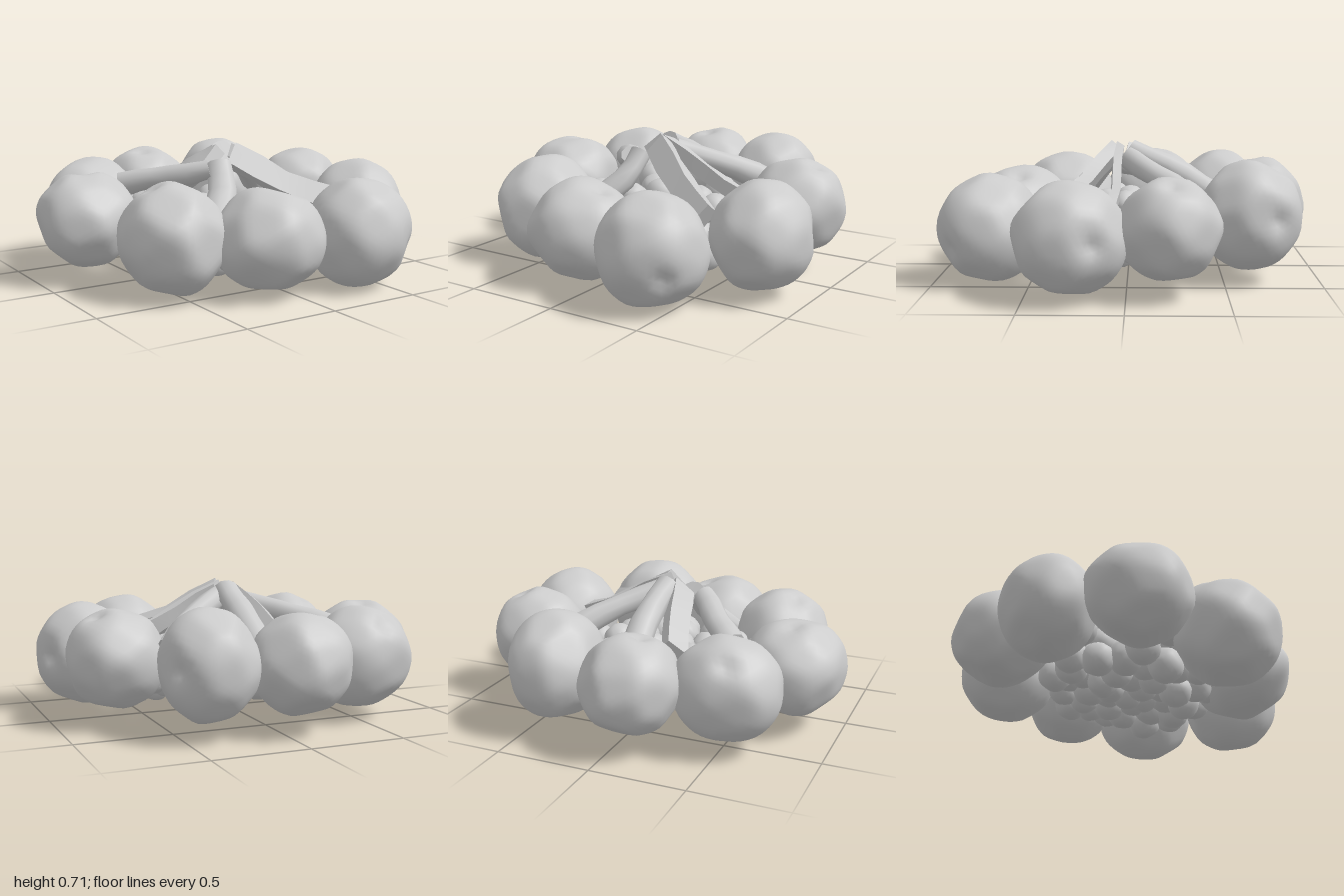
import * as THREE from 'three';
import { mergeVertices, toCreasedNormals } from 'three/addons/utils/BufferGeometryUtils.js';

const material = new THREE.MeshStandardMaterial({ color: 0xcccccc });

// Small seeded random generator
function seeded(seed) {
  let s = seed * 7919 + 17;
  return () => {
    s = (s * 16807) % 2147483647;
    return s / 2147483647;
  };
}

// Rounded rock: a unit sphere softly trimmed by planes, with one shallow pit
function rockGeometry(seed, detail, planeCount, pitDirection, pitDepth) {
  const rand = seeded(seed);
  for (let i = 0; i < 5; i++) rand();
  const planes = [];
  for (let i = 0; i < planeCount; i++) {
    const y = 1 - (2 * (i + 0.5)) / planeCount;
    const a = i * 2.39996 + rand() * 0.9 + seed;
    const q = Math.sqrt(1 - y * y);
    planes.push({ n: new THREE.Vector3(Math.cos(a) * q, y, Math.sin(a) * q), d: 0.95 + rand() * 0.08 });
  }
  const pit = new THREE.Vector3(...pitDirection).normalize();

  const raw = new THREE.IcosahedronGeometry(1, detail);
  raw.deleteAttribute('normal');
  raw.deleteAttribute('uv');
  const geometry = mergeVertices(raw, 1e-4);
  const pos = geometry.attributes.position;
  const v = new THREE.Vector3();
  const k = 36;
  for (let i = 0; i < pos.count; i++) {
    v.fromBufferAttribute(pos, i).normalize();
    let sum = Math.exp(-k * 1.05);
    for (const { n, d } of planes) {
      const c = v.dot(n);
      if (c > 0.3) sum += Math.exp((-k * d) / c);
    }
    const away = v.distanceTo(pit);
    const r = -Math.log(sum) / k - pitDepth * Math.exp(-away * away * 25);
    v.multiplyScalar(r);
    pos.setXYZ(i, v.x, v.y, v.z);
  }
  geometry.computeVertexNormals();
  return geometry;
}

function addMesh(parent, name, geometry) {
  const mesh = new THREE.Mesh(geometry, material);
  mesh.name = name;
  parent.add(mesh);
  return mesh;
}

// Log or split plank from its top end to its foot, slightly bent and uneven
function addLog(parent, name, top, foot, width, thickness, roll, seed) {
  const round = name === 'roundLog';
  const a = new THREE.Vector3(...top);
  const b = new THREE.Vector3(...foot);
  const length = a.distanceTo(b);
  const geometry = round
    ? new THREE.CylinderGeometry(0.45, 0.54, length, 10, 5)
    : new THREE.BoxGeometry(1, length, 1, 1, 4, 1);
  const pos = geometry.attributes.position;
  for (let i = 0; i < pos.count; i++) {
    const x = pos.getX(i), y = pos.getY(i), z = pos.getZ(i);
    const t = y / length;
    const swell = 1 + 0.09 * Math.sin(t * 9 + seed * 2 + x * 3);
    const bend = 0.012 * Math.sin(t * 5 + seed);
    const slant = Math.abs(t) > 0.45 ? 0.05 * x * Math.cos(seed) : 0;
    pos.setXYZ(i, x * width * swell + bend, y + slant, z * thickness * swell - bend);
  }
  const mesh = addMesh(parent, name, toCreasedNormals(geometry, round ? 0.9 : 0.4));
  // Local y runs up the log, local x is level before the roll
  const up = a.clone().sub(b).normalize();
  const side = new THREE.Vector3(0, 1, 0).cross(up).normalize();
  mesh.quaternion.setFromRotationMatrix(new THREE.Matrix4().makeBasis(side, up, side.clone().cross(up)));
  mesh.rotateY(roll);
  mesh.position.copy(a).add(b).multiplyScalar(0.5);
}

export function createModel() {
  const model = new THREE.Group();
  model.name = 'campfire';

  // Ring of large stones: centre x, y, z, half sizes, pit direction
  const ring = new THREE.Group();
  ring.name = 'stoneRing';
  model.add(ring);
  [
    [-0.09, 0.345, -0.71, 0.247, 0.25, 0.26, [-0.2, 1, 0.1]],
    [0.36, 0.35, -0.625, 0.242, 0.275, 0.267, [0.7, 0, -0.45]],
    [0.70, 0.34, -0.215, 0.247, 0.25, 0.247, [0.4, 0.9, 0]],
    [0.745, 0.30, 0.27, 0.252, 0.272, 0.272, [0.8, 0, -0.45]],
    [0.385, 0.28, 0.705, 0.267, 0.277, 0.263, [0.6, -0.25, 0.6]],
    [-0.105, 0.28, 0.60, 0.276, 0.257, 0.272, [0.45, 0.85, 0]],
    [-0.53, 0.29, 0.38, 0.262, 0.277, 0.281, [-0.3, 0.9, -0.2]],
    [-0.745, 0.33, -0.13, 0.26, 0.245, 0.267, [0, 1, -0.2]],
    [-0.52, 0.325, -0.53, 0.272, 0.258, 0.238, [-0.2, 0.7, -0.7]],
  ].forEach(([x, y, z, sx, sy, sz, pit], i) => {
    const stone = addMesh(ring, 'ringStone', rockGeometry(i + 1, 8, 28, pit, 0.12));
    stone.position.set(x, y, z);
    stone.scale.set(sx, sy, sz);
  });

  // Bed of pebbles, rising gently to the back
  const bed = new THREE.Group();
  bed.name = 'pebbleBed';
  model.add(bed);
  const shapes = [21, 22, 23, 24].map((s) => rockGeometry(s, 3, 18, [0, 1, 0], 0.04));
  const rand = seeded(5);
  let count = 0;
  const addPebble = (x, y, z) => {
    const pebble = addMesh(bed, 'pebble', shapes[count++ % shapes.length]);
    pebble.position.set(x, y - 0.1 * z, z);
    pebble.scale.setScalar(0.08 + rand() * 0.012);
    pebble.rotation.set(rand() * 6, rand() * 6, rand() * 6);
  };
  // Lower layer in a spiral
  for (let i = 0; i < 42; i++) {
    const r = 0.49 * Math.sqrt((i + 0.5) / 42);
    const a = i * 2.39996;
    addPebble(r * Math.cos(a), 0.175 + (rand() - 0.5) * 0.1, r * Math.sin(a) * 0.9);
  }
  // Upper layer between the logs
  [
    [-0.30, -0.33], [-0.15, -0.40], [0.16, -0.34], [0.28, -0.20], [0.43, -0.02], [0.30, -0.03],
    [0.10, -0.20], [-0.20, -0.20], [-0.45, 0.00], [-0.50, 0.09], [-0.33, 0.13], [-0.40, 0.22],
    [0.00, 0.20], [0.05, 0.37], [0.17, 0.40], [0.03, 0.29], [0.32, 0.37], [0.36, 0.25],
    [0.16, 0.27], [0.22, 0.14], [-0.08, -0.08], [-0.2, 0.02], [0.12, 0.02], [-0.16, 0.3],
  ].forEach(([x, z]) => addPebble(x, 0.285 + (rand() - 0.5) * 0.06, z));

  // Leaning firewood meeting over the middle
  const wood = new THREE.Group();
  wood.name = 'firewood';
  model.add(wood);
  addLog(wood, 'roundLog', [0.01, 0.65, -0.01], [0.02, 0.40, -0.50], 0.15, 0.13, 0, 1);
  addLog(wood, 'roundLog', [0.07, 0.62, 0.01], [0.47, 0.40, -0.38], 0.13, 0.13, 0, 2);
  addLog(wood, 'roundLog', [-0.14, 0.58, 0.10], [-0.47, 0.45, -0.30], 0.14, 0.12, 0, 3);
  addLog(wood, 'roundLog', [-0.08, 0.59, 0.11], [-0.25, 0.28, 0.37], 0.16, 0.12, 0, 4);
  addLog(wood, 'splitPlank', [0.01, 0.62, 0.08], [0.49, 0.37, 0.40], 0.07, 0.13, 0.6, 5);
  addLog(wood, 'splitPlank', [0.03, 0.64, 0.04], [0.53, 0.42, 0.08], 0.045, 0.08, 0.15, 6);
  addLog(wood, 'splitPlank', [-0.06, 0.62, 0.02], [-0.17, 0.42, -0.37], 0.12, 0.07, 0.6, 7);
  return model;
}
